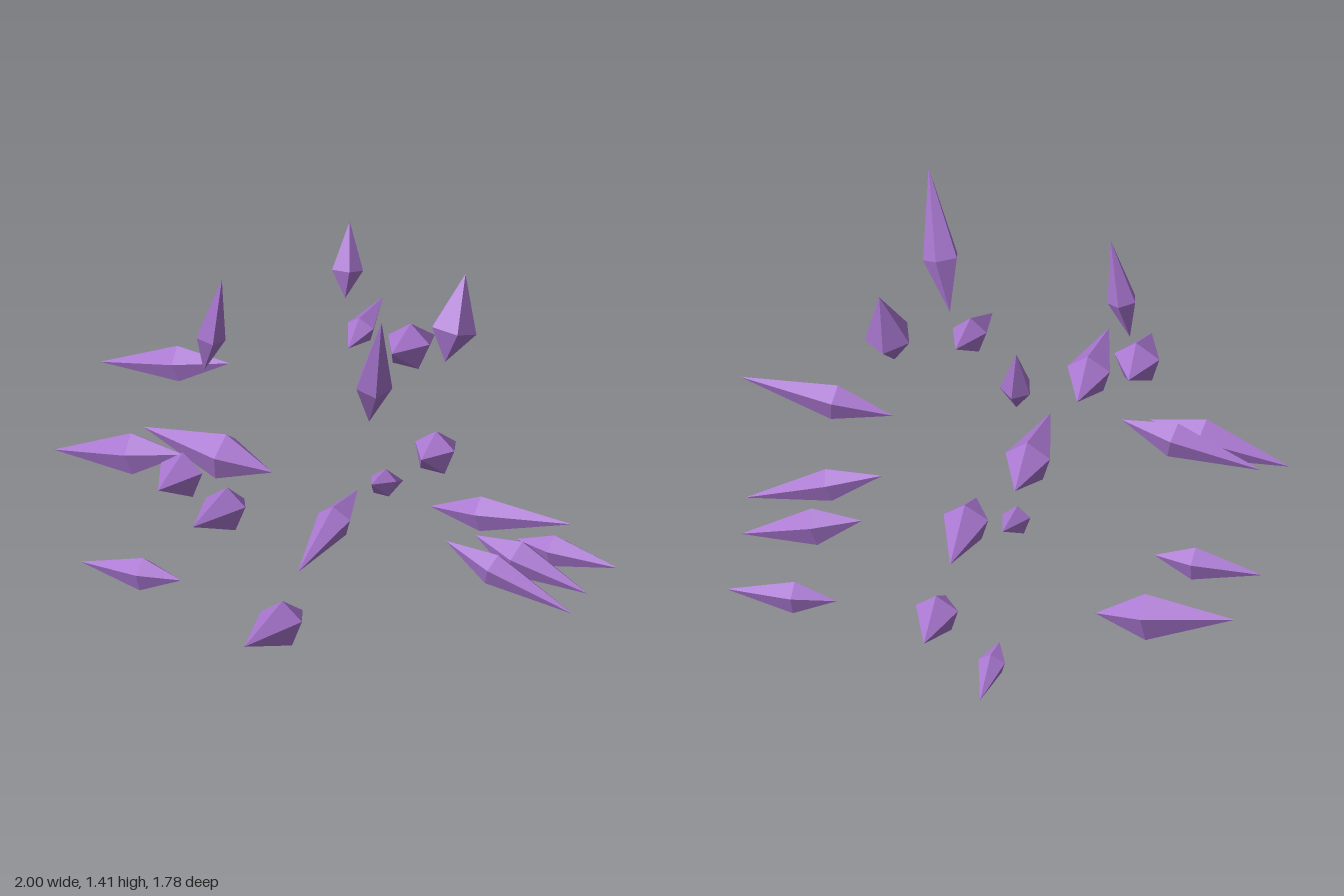
import * as THREE from 'three';

// Each crystal: [inner end, outer tip, ring radius]
const CLUSTERS = {
  rightShard: [
    [[-0.48, 0.79, -0.06], [-1, 0.665, -0.06], 0.067],
    [[-0.48, 0.595, 0.3], [-1, 0.485, 0.3], 0.078],
    [[-0.48, 0.18, -0.395], [-1, 0.235, -0.395], 0.088],
    [[-0.505, 0.062, 0.27], [-0.905, 0.04, 0.275], 0.062],
  ],
  leftShard: [
    [[0.43, 0.545, 0.155], [1, 0.615, 0.155], 0.066],
    [[0.44, 0.355, 0.05], [0.95, 0.185, 0.05], 0.061],
    [[0.455, 0.28, -0.155], [0.905, 0.155, -0.155], 0.07],
    [[0.46, 0.115, -0.46], [0.87, 0.1, -0.46], 0.06],
  ],
  frontShard: [
    [[-0.357, 0.655, 0.45], [-0.36, 0.695, 0.735], 0.088],
    [[-0.175, 0.553, 0.42], [-0.175, 0.637, 0.825], 0.083],
    [[0.055, 0.155, 0.415], [0.055, 0.23, 0.87], 0.087],
    [[0.275, 0.7, 0.415], [0.275, 0.595, 0.885], 0.066],
  ],
  backShard: [
    [[-0.27, 0.65, -0.573], [-0.27, 0.725, -0.848], 0.054],
    [[-0.18, 0.115, -0.58], [-0.18, 0.01, -0.828], 0.052],
    [[-0.088, 0.68, -0.56], [-0.09, 0.59, -0.9], 0.087],
    [[0.023, 0.27, -0.573], [0.025, 0.215, -0.84], 0.083],
  ],
  topShard: [
    [[-0.415, 0.94, 0.27], [-0.345, 1.325, 0.265], 0.055],
    [[-0.185, 0.97, -0.385], [-0.21, 1.235, -0.47], 0.059],
    [[0.262, 0.918, 0.3], [0.38, 1.418, 0.432], 0.068],
    [[0.335, 0.957, -0.152], [0.36, 1.267, -0.262], 0.087],
  ],
};

export function createModel() {
  const model = new THREE.Group();
  const crystal = new THREE.MeshStandardMaterial({ color: 0xa876cf, flatShading: true });
  crystal.name = 'purpleCrystal';

  // Unit five-sided double point, widest nearer its inner end
  const profile = [[0, 0], [1, 0.375], [0, 1]].map(([r, y]) => new THREE.Vector2(r, y));
  const geometry = new THREE.LatheGeometry(profile, 5);

  for (const [name, shards] of Object.entries(CLUSTERS)) {
    const cluster = new THREE.Group();
    cluster.name = name + 'Cluster';
    // One corner of every ring points up, or to the back on upright shards
    const corner = name === 'topShard' ? new THREE.Vector3(0, 0, -1) : new THREE.Vector3(0, 1, 0);

    shards.forEach(([inner, tip, radius], i) => {
      const start = new THREE.Vector3(...inner);
      const axis = new THREE.Vector3(...tip).sub(start);
      const length = axis.length();
      axis.normalize();
      const z = corner.clone().addScaledVector(axis, -corner.dot(axis)).normalize();
      const x = new THREE.Vector3().crossVectors(axis, z);

      const mesh = new THREE.Mesh(geometry, crystal);
      mesh.name = name + (i + 1);
      mesh.quaternion.setFromRotationMatrix(new THREE.Matrix4().makeBasis(x, axis, z));
      mesh.position.copy(start);
      mesh.scale.set(radius, length, radius);
      cluster.add(mesh);
    });
    model.add(cluster);
  }
  return model;
}
